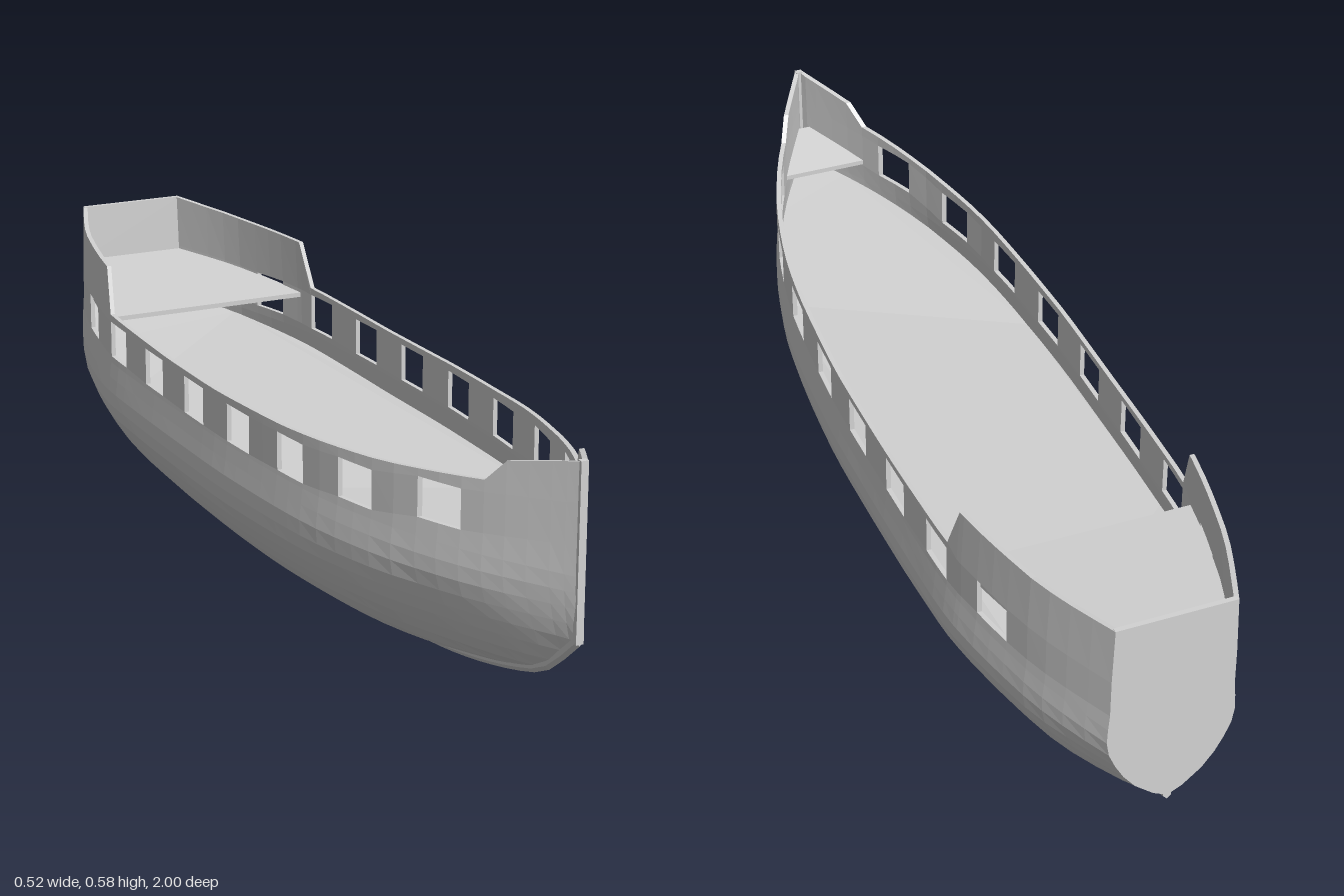
import * as THREE from 'three';

const timber = new THREE.MeshStandardMaterial({ color: 0xd2d2d2, flatShading: true, side: THREE.DoubleSide });
timber.name = 'greyTimber';

// Interpolate [z, value] points: straight, or with smooth tangents
function curve(points, smooth) {
  const n = points.length;
  const slope = i => {
    const a = points[Math.max(i - 1, 0)], b = points[Math.min(i + 1, n - 1)];
    return (b[1] - a[1]) / (b[0] - a[0]);
  };
  return z => {
    let i = 0;
    while (i < n - 2 && z > points[i + 1][0]) i++;
    const [z0, v0] = points[i], [z1, v1] = points[i + 1], h = z1 - z0;
    const t = Math.min(Math.max((z - z0) / h, 0), 1);
    if (!smooth) return v0 + (v1 - v0) * t;
    const t2 = t * t, t3 = t2 * t;
    return (2 * t3 - 3 * t2 + 1) * v0 + (t3 - 2 * t2 + t) * h * slope(i)
      + (3 * t2 - 2 * t3) * v1 + (t3 - t2) * h * slope(i + 1);
  };
}

// Gun ports, evenly spaced along both sides, listed from stern to bow
const ports = [0.371, 0.365, 0.361, 0.359, 0.359, 0.361, 0.369, 0.387].map((sill, i) => {
  const c = -0.693 + i * 0.2046;
  return { a: c - 0.0465, b: c + 0.0465, sill };
});

// Hull lines along z
const plan = curve([[-1, 0.12], [-0.9, 0.16], [-0.8, 0.193], [-0.58, 0.238], [-0.4, 0.248], [-0.1, 0.252], [0.1, 0.25],
  [0.4, 0.228], [0.6, 0.187], [0.74, 0.14], [0.83, 0.1], [0.9, 0.063], [1, 0.006]], true);
const keelY = curve([[-1, 0.142], [-0.9, 0.093], [-0.8, 0.056], [-0.6, 0.024], [-0.4, 0.008], [-0.1, 0], [0.1, 0.003],
  [0.4, 0.024], [0.6, 0.052], [0.8, 0.1], [0.9, 0.14], [1, 0.222]], true);
const railY = curve([[-1, 0.578], [-0.9, 0.569], [-0.8, 0.562], [-0.575, 0.553], [-0.537, 0.457], [-0.2, 0.449], [0, 0.449],
  [0.3, 0.455], [0.6, 0.47], [0.83, 0.491], [0.87, 0.535], [1, 0.563]], false);
const sillY = curve([[-1, 0.385], ...ports.flatMap(p => [[p.a, p.sill], [p.b, p.sill]]), [1, 0.41]], false);
const headY = z => sillY(z) + 0.077;
const baseY = z => keelY(z) + 0.01;

// Cross-section: share of beam against height fraction from keel to sill
const share = curve([[0, 0], [0.086, 0.32], [0.18, 0.52], [0.31, 0.72], [0.425, 0.85], [0.54, 0.95],
  [0.625, 1.01], [0.74, 1.035], [0.83, 1.028], [0.914, 1.012], [1, 1]], true);
const width = (z, y) => {
  const f = (y - baseY(z)) / (sillY(z) - baseY(z));
  return plan(z) * (f < 1 ? share(f) : 1) * (1 - 0.25 * Math.max(0, y - 0.45));
};

// Level strakes that stop at the rising keel, then sill, head and rail
const strakes = Array.from({ length: 12 }, (_, i) => 0.011 + i * 0.031);
const rowsAt = z => [baseY(z), ...strakes.map(y => Math.max(y, baseY(z))), sillY(z), headY(z), railY(z)];
const SILL = strakes.length + 1;
const WALL = 0.0095;
const outer = (z, y) => [width(z, y), y, z];
const inner = (z, y) => {
  const d = (plan(z + 0.01) - plan(z - 0.01)) / 0.02;
  return [Math.max(0, width(z, y) - WALL * Math.hypot(1, d)), y, z];
};

function named(object, name) {
  object.name = name;
  return object;
}

// Collects quads together with their mirror images
function mirroredQuads() {
  const pos = [];
  const flip = p => [-p[0], p[1], p[2]];
  return {
    quad(a, b, c, d) {
      pos.push(...a, ...b, ...c, ...a, ...c, ...d);
      const [e, f, g, h] = [d, c, b, a].map(flip);
      pos.push(...e, ...f, ...g, ...e, ...g, ...h);
    },
    mesh(name) {
      const g = new THREE.BufferGeometry();
      g.setAttribute('position', new THREE.Float32BufferAttribute(pos, 3));
      g.computeVertexNormals();
      return named(new THREE.Mesh(g, timber), name);
    },
  };
}

// Section positions: port edges, breaks in the rail and the ends
function stations() {
  const z = [-1, -0.95, -0.9, -0.85, -0.8, -0.575, -0.537, 0.83, 0.87, 0.91, 0.95, 0.975, 0.995];
  ports.forEach(({ a, b }) => z.push(a, (a + b) / 2, b));
  ports.slice(1).forEach(({ a }) => z.push(a - 0.056));
  return z.sort((a, b) => a - b);
}

// Planked shell with open ports, inner bulwark and rail
function hullShell() {
  const q = mirroredQuads(), zs = stations();
  for (let i = 0; i < zs.length - 1; i++) {
    const z0 = zs[i], z1 = zs[i + 1], r0 = rowsAt(z0), r1 = rowsAt(z1), mid = (z0 + z1) / 2;
    const open = ports.some(({ a, b }) => mid > a && mid < b);
    const ledge = (k, up) => {
      const c = [inner(z0, r0[k]), inner(z1, r1[k]), outer(z1, r1[k]), outer(z0, r0[k])];
      q.quad(...(up ? c : c.reverse()));
    };
    for (let k = 0; k < r0.length - 1; k++) {
      if (open && k === SILL) {
        ledge(SILL, true);
        ledge(SILL + 1, false);
        continue;
      }
      if (r0[k + 1] - r0[k] < 1e-6 && r1[k + 1] - r1[k] < 1e-6) continue;
      q.quad(outer(z0, r0[k]), outer(z0, r0[k + 1]), outer(z1, r1[k + 1]), outer(z1, r1[k]));
      if (r0[k] > 0.25) q.quad(inner(z1, r1[k]), inner(z1, r1[k + 1]), inner(z0, r0[k + 1]), inner(z0, r0[k]));
    }
    ledge(r0.length - 1, true);
  }
  // Side faces of the ports
  for (const { a, b } of ports) {
    const jamb = z => [inner(z, sillY(z)), outer(z, sillY(z)), outer(z, headY(z)), inner(z, headY(z))];
    q.quad(...jamb(a));
    q.quad(...jamb(b).reverse());
  }
  return q.mesh('hullShell');
}

// Keel with a pointed lower edge
function keel() {
  const q = mirroredQuads(), n = 40;
  const ring = z => {
    const y = keelY(z);
    return [[0, y, z], [0.008, y + 0.009, z], [0.008, y + 0.022, z], [0, y + 0.022, z]];
  };
  for (let i = 0; i < n; i++) {
    const a = ring(-1 + 2 * i / n), b = ring(-1 + 2 * (i + 1) / n);
    for (let k = 0; k < 3; k++) q.quad(a[k], a[k + 1], b[k + 1], b[k]);
  }
  q.quad(...ring(1));
  q.quad(...ring(-1).reverse());
  return q.mesh('keel');
}

// Deck slab fitted to the hull between two stations
function deck(name, za, zb, yAt) {
  const n = 24, right = [], left = [];
  for (let i = 0; i <= n; i++) {
    const z = za + (zb - za) * i / n;
    const x = Math.max(0.001, inner(z, yAt(z))[0] + 0.003);
    right.push(new THREE.Vector2(x, z));
    left.unshift(new THREE.Vector2(-x, z));
  }
  const g = new THREE.ExtrudeGeometry(new THREE.Shape([...right, ...left]), { depth: 0.01, bevelEnabled: false });
  g.rotateX(Math.PI / 2);
  const p = g.attributes.position;
  for (let i = 0; i < p.count; i++) p.setY(i, p.getY(i) + yAt(p.getZ(i)));
  g.computeVertexNormals();
  return named(new THREE.Mesh(g, timber), name);
}

// Flat stern plate following the last section
function transom() {
  const rows = [...new Set(rowsAt(-1))];
  const side = rows.map(y => new THREE.Vector2(width(-1, y), y));
  const other = side.slice(1).reverse().map(p => new THREE.Vector2(-p.x, p.y));
  const g = new THREE.ExtrudeGeometry(new THREE.Shape([...side, ...other]), { depth: 0.01, bevelEnabled: false });
  g.translate(0, 0, -1);
  return named(new THREE.Mesh(g, timber), 'transom');
}

export function createModel() {
  const ship = named(new THREE.Group(), 'shipHull');
  ship.add(hullShell(), keel(), transom());
  ship.add(deck('mainDeck', -0.992, 0.97, z => 0.308 + 0.04 * z * z));
  ship.add(deck('quarterDeck', -0.992, -0.58, z => 0.437 + (-0.58 - z) * 0.045));
  ship.add(deck('foreDeck', 0.83, 0.97, z => 0.405 + (z - 0.83) * 0.18));
  // Stem post at the bow
  const stem = named(new THREE.Mesh(new THREE.BoxGeometry(0.015, 0.338, 0.012), timber), 'stemPost');
  stem.position.set(0, 0.394, 0.994);
  ship.add(stem);
  return ship;
}
